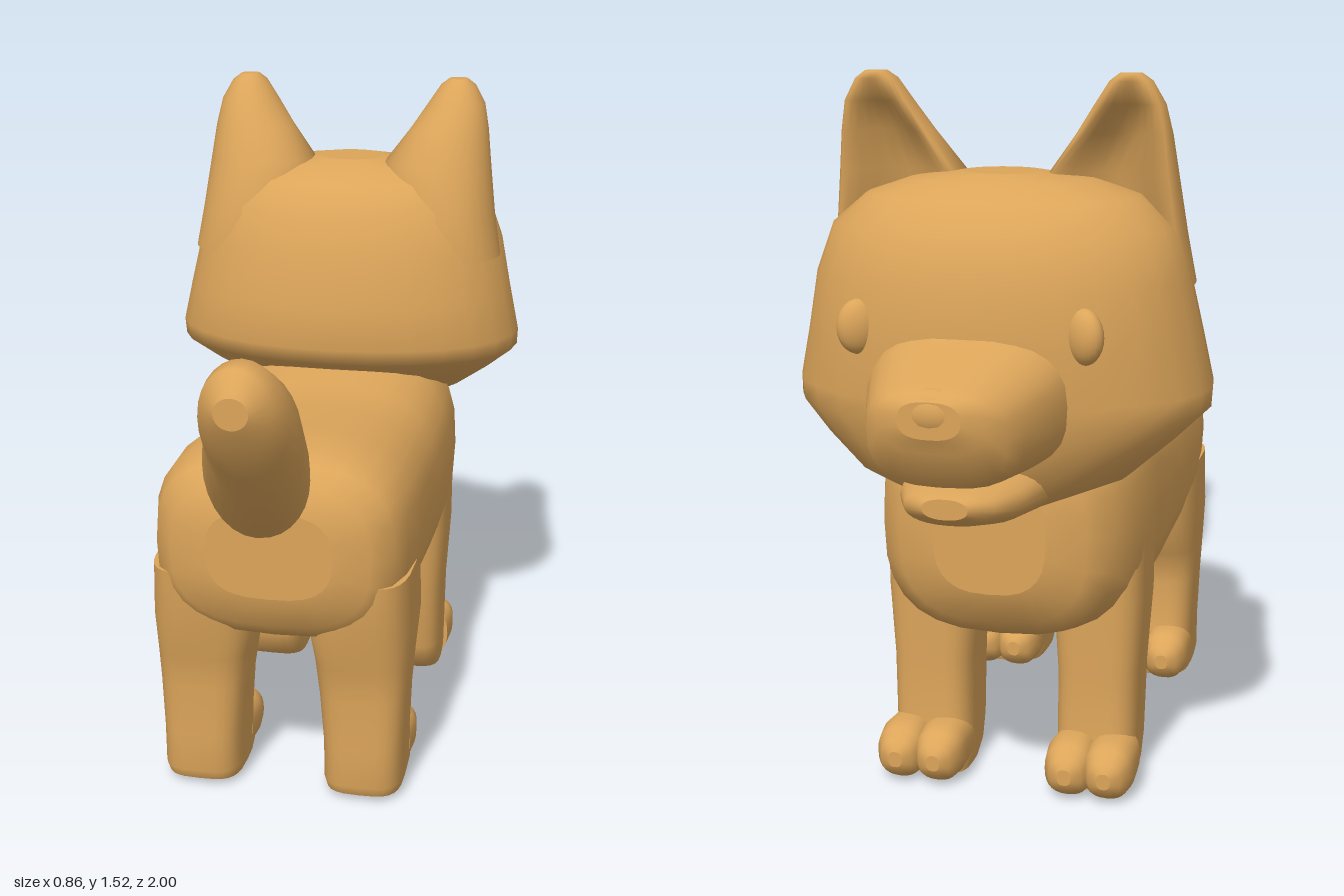
import * as THREE from 'three';

const SEG = 28;

// Skin through superellipse sections. Rows are [t, xMin, xMax, bMin, bMax]:
// axis 'z' stacks along z with b = y, axis 'y' stacks along y with b = z.
// dent(t) hollows the low-b side of a section.
function loft(axis, rows, power = 2, dent = () => 0) {
  const pos = [], idx = [];
  const put = (x, t, b) => (axis === 'z' ? pos.push(x, b, t) : pos.push(x, t, b));
  const ring = ([t, x0, x1, b0, b1]) => {
    for (let i = 0; i < SEG; i++) {
      const a = (i / SEG) * Math.PI * 2, c = Math.cos(a), s = Math.sin(a);
      const u = Math.sign(c) * Math.abs(c) ** (2 / power);
      let v = Math.sign(s) * Math.abs(s) ** (2 / power);
      if (v < 0) v *= 1 - dent(t) * (1 - u * u);
      put((x0 + x1) / 2 + (u * (x1 - x0)) / 2, t, (b0 + b1) / 2 + (v * (b1 - b0)) / 2);
    }
  };
  rows.forEach(ring);
  for (let r = 0; r < rows.length - 1; r++)
    for (let i = 0; i < SEG; i++) {
      const a = r * SEG + i, b = r * SEG + ((i + 1) % SEG);
      idx.push(a, b, a + SEG, b, b + SEG, a + SEG);
    }
  // end caps with their own vertices
  [[rows[0], true], [rows[rows.length - 1], false]].forEach(([row, flip]) => {
    const base = pos.length / 3;
    ring(row);
    put((row[1] + row[2]) / 2, row[0], (row[3] + row[4]) / 2);
    for (let i = 0; i < SEG; i++) {
      const a = base + i, b = base + ((i + 1) % SEG), m = base + SEG;
      flip ? idx.push(b, a, m) : idx.push(a, b, m);
    }
  });
  // make all faces point outward, whichever way the sections run
  let volume = 0;
  const p = (i) => new THREE.Vector3().fromArray(pos, i * 3);
  const origin = p(0);
  for (let i = 0; i < idx.length; i += 3)
    volume += p(idx[i]).sub(origin).dot(p(idx[i + 1]).sub(origin).cross(p(idx[i + 2]).sub(origin)));
  if (volume < 0) idx.reverse();
  const g = new THREE.BufferGeometry();
  g.setAttribute('position', new THREE.Float32BufferAttribute(pos, 3));
  g.setIndex(idx);
  g.computeVertexNormals();
  return g;
}

// symmetric row from a half width
const sym = ([t, w, b0, b1]) => [t, -w, w, b0, b1];

export function createModel() {
  const model = new THREE.Group();
  const fur = new THREE.MeshStandardMaterial({ color: 0xdca55a });
  fur.name = 'tan fur';
  const add = (name, geometry) => {
    const mesh = new THREE.Mesh(geometry, fur);
    mesh.name = name;
    model.add(mesh);
    return mesh;
  };
  const blob = (name, x, y, z, rx, ry, rz) => {
    const m = add(name, new THREE.SphereGeometry(1, 20, 14));
    m.position.set(x, y, z);
    m.scale.set(rx, ry, rz);
    return m;
  };

  // torso, rump to chest
  add('body', loft('z', [
    [0.45, 0.14, 0.52, 0.72], [0.435, 0.22, 0.45, 0.78], [0.39, 0.265, 0.41, 0.815],
    [0.32, 0.285, 0.39, 0.835], [0.2, 0.295, 0.36, 0.835], [0, 0.285, 0.325, 0.82],
    [-0.15, 0.285, 0.31, 0.825], [-0.3, 0.29, 0.31, 0.86], [-0.45, 0.285, 0.335, 0.86],
    [-0.55, 0.25, 0.36, 0.82], [-0.6, 0.2, 0.4, 0.78], [-0.625, 0.12, 0.47, 0.72],
  ].map(sym), 2.8));

  // skull with wide cheeks, chin to crown
  add('head', loft('y', [
    [0.67, 0.12, -0.7, -0.5], [0.73, 0.28, -0.74, -0.4], [0.8, 0.365, -0.77, -0.28],
    [0.86, 0.43, -0.78, -0.195], [0.9, 0.432, -0.785, -0.18], [1.0, 0.41, -0.79, -0.18],
    [1.12, 0.385, -0.785, -0.21], [1.22, 0.35, -0.745, -0.245], [1.28, 0.28, -0.69, -0.3],
    [1.31, 0.19, -0.64, -0.36], [1.325, 0.08, -0.57, -0.42],
  ].map(sym), 2.1));

  // muzzle, jaw and nose
  add('muzzle', loft('z', [
    [-0.68, 0.21, 0.76, 1.07], [-0.8, 0.19, 0.77, 1.03], [-0.9, 0.155, 0.775, 1.0],
    [-0.95, 0.135, 0.79, 0.985], [-0.98, 0.105, 0.86, 0.975], [-0.995, 0.06, 0.89, 0.96],
  ].map(sym), 2.6));
  add('lowerJaw', loft('z', [
    [-0.58, 0.15, 0.68, 0.8], [-0.68, 0.15, 0.66, 0.79], [-0.8, 0.125, 0.675, 0.775],
    [-0.88, 0.09, 0.695, 0.765], [-0.91, 0.045, 0.715, 0.755],
  ].map(sym), 2.3));
  blob('nose', 0, 0.935, -0.965, 0.065, 0.045, 0.035);

  // bushy tail bending up and slightly to one side
  add('tail', loft('z', [
    [0.32, -0.02, 0.05, 0.72, 0.825], [0.45, -0.07, 0.09, 0.71, 0.9],
    [0.6, -0.09, 0.125, 0.725, 0.99], [0.72, -0.065, 0.15, 0.775, 1.075],
    [0.85, -0.025, 0.165, 0.895, 1.165], [0.92, -0.015, 0.155, 0.97, 1.2],
    [0.97, 0, 0.135, 1.03, 1.195], [1.0, 0.035, 0.1, 1.09, 1.15],
  ]));

  for (const s of [-1, 1]) {
    const side = s > 0 ? 'left' : 'right';
    const mirror = ([t, x0, x1, b0, b1]) => [t, Math.min(s * x0, s * x1), Math.max(s * x0, s * x1), b0, b1];

    // ear, hollow towards the face
    add(side + 'Ear', loft('y', [
      [1.1, 0.12, 0.385, -0.57, -0.3], [1.2, 0.1, 0.367, -0.59, -0.3],
      [1.32, 0.09, 0.352, -0.585, -0.345], [1.4, 0.15, 0.342, -0.575, -0.385],
      [1.46, 0.19, 0.33, -0.565, -0.42], [1.505, 0.22, 0.305, -0.545, -0.45],
      [1.52, 0.24, 0.285, -0.525, -0.475],
    ].map(mirror), 2.1, (t) => (t < 1.45 ? 1.3 : t < 1.48 ? 0.8 : 0)));

    const eye = blob(side + 'Eye', s * 0.225, 1.04, -0.735, 0.045, 0.055, 0.03);
    eye.rotation.y = s * 0.6;

    // legs taper slightly down to the paws
    add(side + 'HindLeg', loft('y', [
      [0.015, 0.1, 0.275, 0.14, 0.365], [0.04, 0.095, 0.28, 0.13, 0.377],
      [0.13, 0.095, 0.28, 0.15, 0.377], [0.25, 0.085, 0.285, 0.16, 0.377],
      [0.33, 0.075, 0.29, 0.14, 0.385], [0.42, 0.06, 0.295, 0.08, 0.41],
      [0.55, 0.08, 0.29, 0.08, 0.42],
    ].map(mirror), 3.5));
    add(side + 'FrontLeg', loft('y', [
      [0.0, 0.1, 0.265, -0.5, -0.34], [0.03, 0.095, 0.27, -0.5, -0.305],
      [0.08, 0.095, 0.272, -0.48, -0.285], [0.25, 0.095, 0.275, -0.48, -0.265],
      [0.41, 0.085, 0.285, -0.485, -0.245], [0.6, 0.1, 0.285, -0.49, -0.24],
    ].map(mirror), 3.5));

    // paws with two toes each
    for (const [name, z, y] of [['HindToe', 0.16, 0.015], ['FrontToe', -0.49, 0]])
      for (const x of [0.145, 0.23])
        add(side + name, loft('z', [
          [z + 0.06, x - 0.05, x + 0.05, y, y + 0.12], [z - 0.01, x - 0.055, x + 0.055, y, y + 0.125],
          [z - 0.05, x - 0.05, x + 0.05, y + 0.005, y + 0.115], [z - 0.075, x - 0.035, x + 0.035, y + 0.02, y + 0.095],
          [z - 0.085, x - 0.015, x + 0.015, y + 0.04, y + 0.075],
        ].map(mirror), 2.5));
  }
  return model;
}
